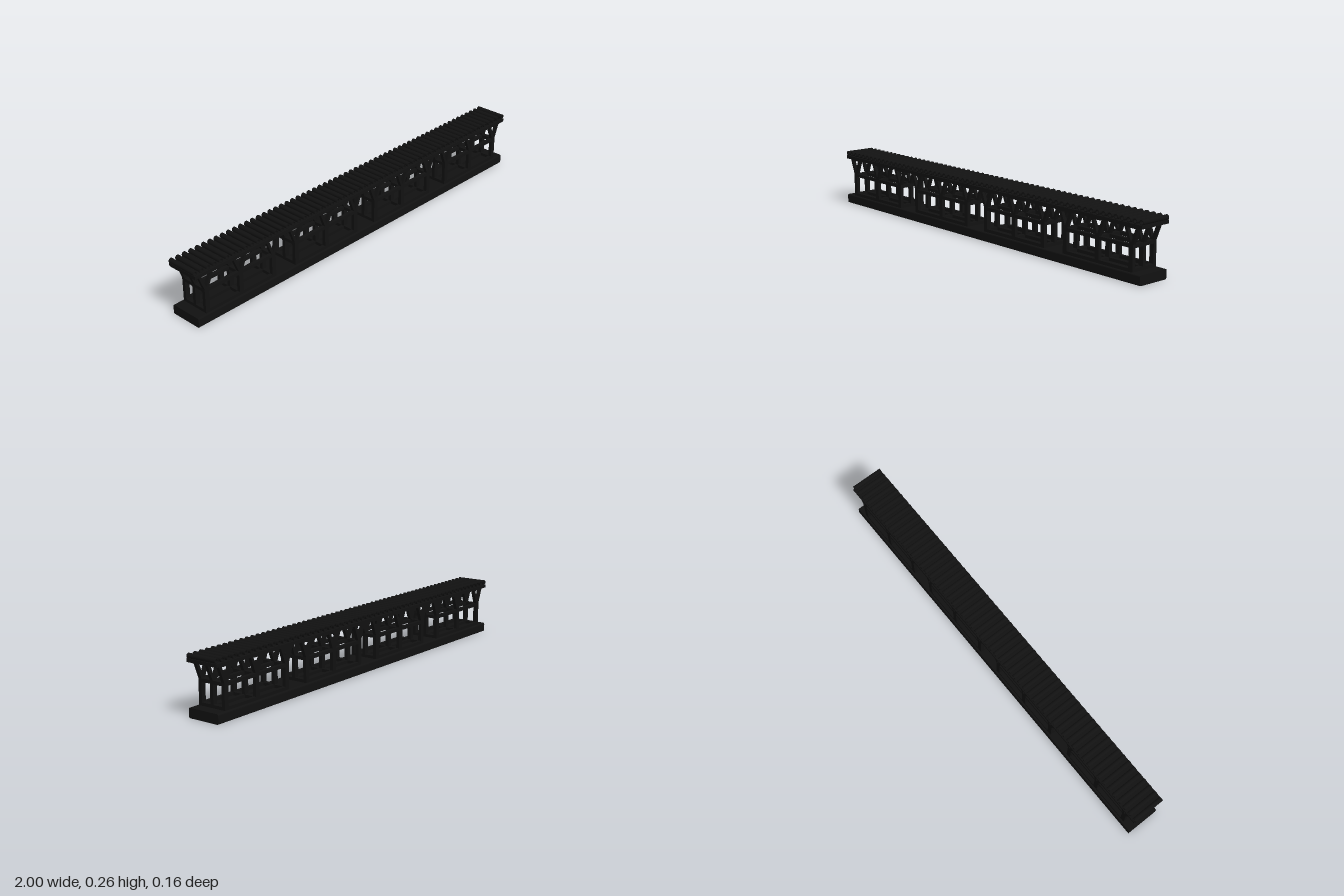
import * as THREE from 'three';

const frameMat = new THREE.MeshStandardMaterial({ color: 0x111111 });

export function createModel() {
  const root = new THREE.Group();
  root.name = 'rollerConveyor';

  const add = (parent, name, geometry, x = 0, y = 0, z = 0) => {
    const mesh = new THREE.Mesh(geometry, frameMat);
    mesh.name = name;
    mesh.position.set(x, y, z);
    parent.add(mesh);
    return mesh;
  };
  const box = (parent, name, w, h, d, x, y, z) =>
    add(parent, name, new THREE.BoxGeometry(w, h, d), x, y, z);

  // Base beam: rounded section swept along x
  const w = 0.078, h = 0.043, r = 0.007;
  const section = new THREE.Shape();
  section.moveTo(-w + r, 0);
  section.lineTo(w - r, 0);
  section.quadraticCurveTo(w, 0, w, r);
  section.lineTo(w, h - r);
  section.quadraticCurveTo(w, h, w - r, h);
  section.lineTo(-w + r, h);
  section.quadraticCurveTo(-w, h, -w, h - r);
  section.lineTo(-w, r);
  section.quadraticCurveTo(-w, 0, -w + r, 0);
  const baseGeo = new THREE.ExtrudeGeometry(section, { depth: 1.985, bevelEnabled: false, curveSegments: 4 });
  baseGeo.translate(0, 0, -1.985 / 2).rotateY(Math.PI / 2);
  add(root, 'baseBeam', baseGeo);

  // Deck plate under the rollers
  box(root, 'deckPlate', 1.99, 0.015, 0.157, 0, 0.235, 0);

  // Four support frames, each with three rows of posts
  const rows = [-0.061, 0, 0.061];
  const bar = 0.016;
  for (const cx of [-0.75, -0.25, 0.25, 0.75]) {
    const frame = new THREE.Group();
    frame.name = 'supportFrame';
    frame.position.x = cx;
    root.add(frame);

    for (const z of rows) {
      box(frame, 'lowerRail', 0.388, bar, bar, 0, 0.049, z);
      box(frame, 'middleRail', 0.388, 0.015, bar, 0, 0.148, z);
    }
    for (const x of [-0.183, 0, 0.183]) {
      box(frame, 'lowerCrossbar', 0.022, bar, 0.13, x, 0.049, 0);
      box(frame, 'middleCrossbar', 0.022, 0.015, 0.13, x, 0.148, 0);
      for (const z of rows) {
        box(frame, 'post', 0.022, 0.125, bar, x, 0.1, z);
        box(frame, 'braceCap', 0.072, 0.008, bar, x, 0.225, z);
        // Pair of arms opening upward in a V
        for (const s of [-1, 1]) {
          const arm = box(frame, 'braceArm', 0.013, 0.076, bar, x + s * 0.018, 0.192, z);
          arm.rotation.z = -s * Math.atan2(0.026, 0.068);
        }
      }
    }
  }

  // Row of hollow rollers lying across the deck
  const ring = new THREE.Shape().absarc(0, 0, 0.0108, 0, Math.PI * 2, false);
  ring.holes.push(new THREE.Path().absarc(0, 0, 0.0075, 0, Math.PI * 2, true));
  const rollerGeo = new THREE.ExtrudeGeometry(ring, { depth: 0.149, bevelEnabled: false, curveSegments: 12 });
  rollerGeo.translate(0, 0, -0.0745);
  const count = 60;
  for (let i = 0; i < count; i++) {
    add(root, 'roller', rollerGeo, -0.989 + (1.978 * i) / (count - 1), 0.2535, 0);
  }

  return root;
}
